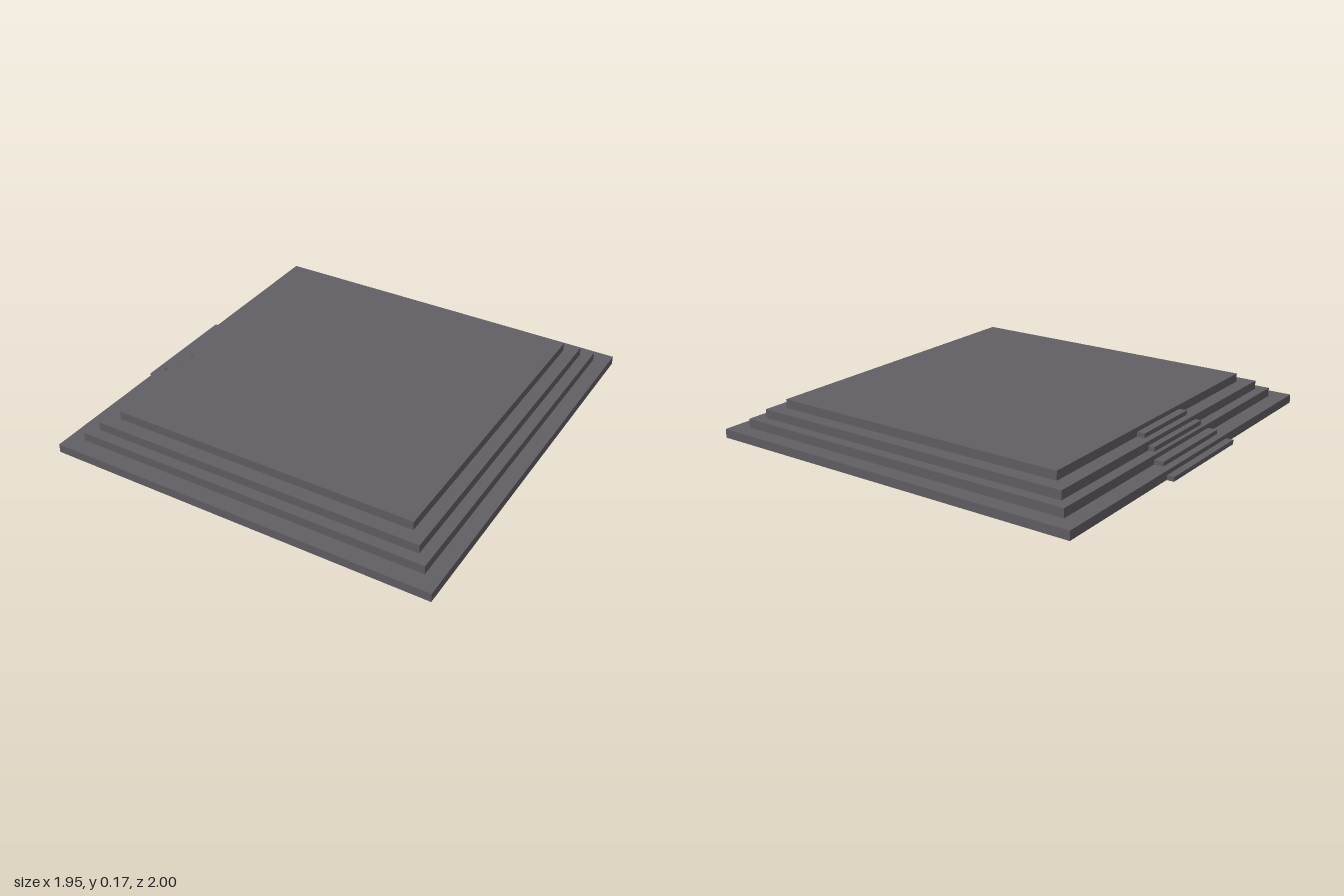
import * as THREE from 'three';

// Each terrace: platform extents, and the entrance step that juts out on the -x side
const RISE = 0.0425;
const TERRACES = [
  { x0: -0.94, x1: 0.97, z0: -1.0, z1: 1.0, step: { x: -0.975, z0: -0.26, z1: 0.295 } },
  { x0: -0.86, x1: 0.895, z0: -0.92, z1: 0.915, step: { x: -0.905, z0: -0.23, z1: 0.265 } },
  { x0: -0.81, x1: 0.84, z0: -0.865, z1: 0.86, step: { x: -0.84, z0: -0.195, z1: 0.23 } },
  { x0: -0.74, x1: 0.775, z0: -0.795, z1: 0.79, step: { x: -0.778, z0: -0.175, z1: 0.205 } },
];

// Counter-clockwise outlines seen from above, as (x, -z)
const rect = (x0, x1, z0, z1) =>
  [[x1, -z0], [x0, -z0], [x0, -z1], [x1, -z1]].map(([x, y]) => new THREE.Vector2(x, y));

function outlineWithStep({ x0, x1, z0, z1, step }) {
  const points = rect(x0, x1, z0, z1);
  const notch = [[x0, step.z0], [step.x, step.z0], [step.x, step.z1], [x0, step.z1]];
  points.splice(2, 0, ...notch.map(([x, z]) => new THREE.Vector2(x, -z)));
  return points;
}

// Vertical wall around a closed outline
function wallGeometry(points, low, high) {
  const positions = [];
  points.forEach((a, i) => {
    const b = points[(i + 1) % points.length];
    positions.push(a.x, low, -a.y, b.x, low, -b.y, b.x, high, -b.y);
    positions.push(a.x, low, -a.y, b.x, high, -b.y, a.x, high, -a.y);
  });
  const geometry = new THREE.BufferGeometry();
  geometry.setAttribute('position', new THREE.Float32BufferAttribute(positions, 3));
  geometry.computeVertexNormals();
  return geometry;
}

// Level surface inside an outline, with an optional opening
function floorGeometry(points, y, hole) {
  const shape = new THREE.Shape(points);
  if (hole) shape.holes.push(new THREE.Path(hole));
  return new THREE.ShapeGeometry(shape).rotateX(-Math.PI / 2).translate(0, y, 0);
}

export function createModel() {
  const model = new THREE.Group();
  model.name = 'steppedPlatform';
  const stone = new THREE.MeshStandardMaterial({ color: 0x625f64, side: THREE.DoubleSide });
  stone.name = 'darkGreyStone';

  TERRACES.forEach((t, i) => {
    const terrace = new THREE.Group();
    terrace.name = `terrace${i + 1}`;
    const add = (name, geometry) => {
      const mesh = new THREE.Mesh(geometry, stone);
      mesh.name = name;
      terrace.add(mesh);
    };
    const low = i * RISE, middle = low + RISE / 2, high = low + RISE;
    const edge = rect(t.x0, t.x1, t.z0, t.z1);
    const next = TERRACES[i + 1];

    // Hollow shell: the lower half of the wall wraps around the entrance step
    add('lowerWall', wallGeometry(outlineWithStep(t), low, middle));
    add('upperWall', wallGeometry(edge, middle, high));
    add('entranceStepTread', floorGeometry(rect(t.step.x, t.x0, t.step.z0, t.step.z1), middle));
    add(next ? 'ledge' : 'topDeck', floorGeometry(edge, high, next && outlineWithStep(next)));
    model.add(terrace);
  });
  return model;
}
